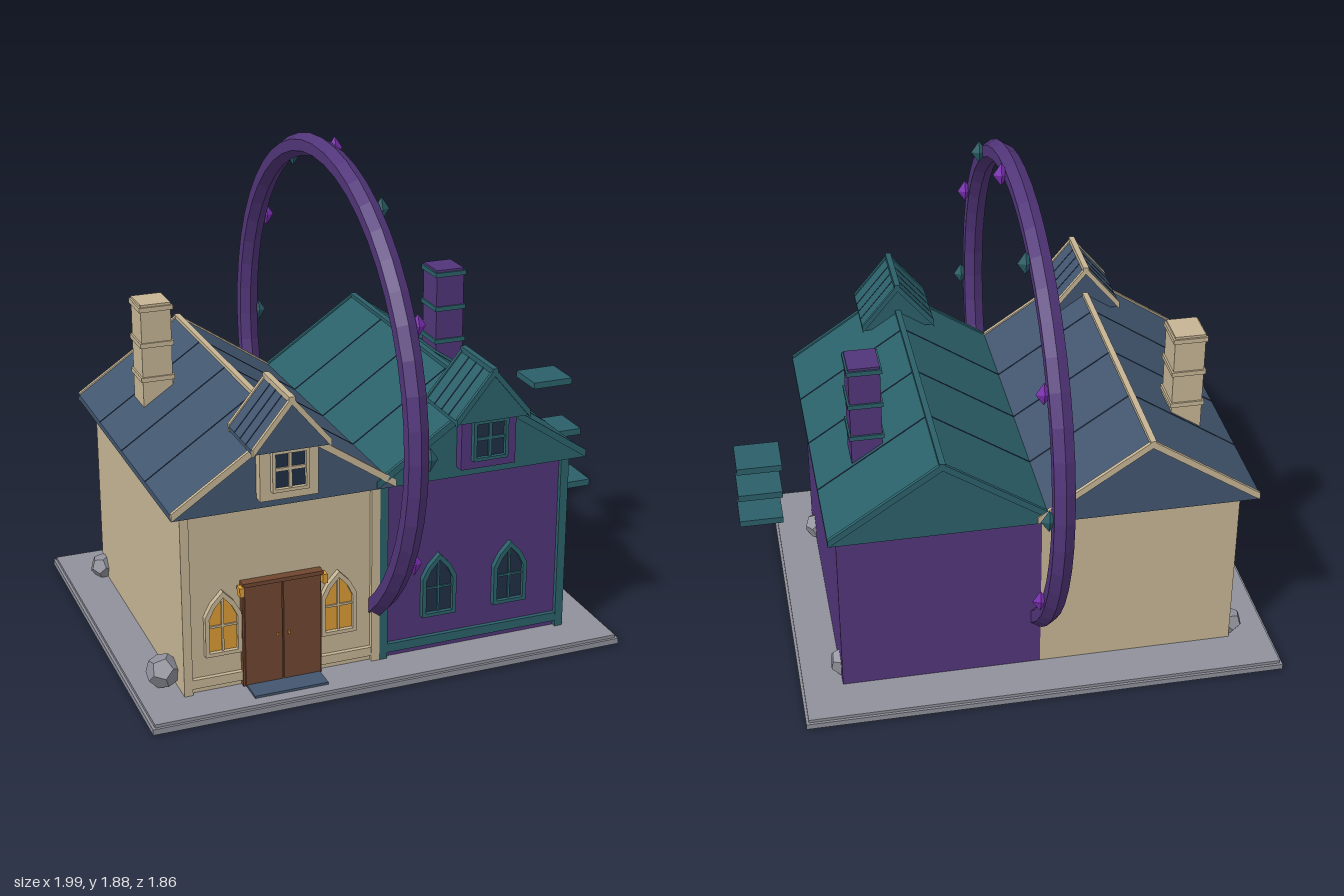
import * as THREE from 'three';

const mat = (name, color, extra = {}) => {
  const m = new THREE.MeshStandardMaterial({ color, ...extra });
  m.name = name;
  return m;
};

export function createModel() {
  const model = new THREE.Group();
  model.name = 'twinHouse';
  const tan = mat('tan', 0xc6b594), slate = mat('slateBlue', 0x42566f);
  const purple = mat('purple', 0x513579, { flatShading: true });
  const teal = mat('teal', 0x2b606a, { flatShading: true });
  const brown = mat('brown', 0x704630), navy = mat('navyGlass', 0x1f2e44);
  const amber = mat('amber', 0xda9a34);
  const grey = mat('stoneGrey', 0x90909b, { flatShading: true });
  const violet = mat('violetCrystal', 0x7d30b5, { flatShading: true });

  const add = (parent, name, geo, m) => {
    const mesh = new THREE.Mesh(geo, m);
    mesh.name = name;
    parent.add(mesh);
    return mesh;
  };
  // Box given by its bounds
  const box = (parent, name, m, x0, x1, y0, y1, z0, z1) => {
    const b = add(parent, name, new THREE.BoxGeometry(x1 - x0, y1 - y0, z1 - z0), m);
    b.position.set((x0 + x1) / 2, (y0 + y1) / 2, (z0 + z1) / 2);
    return b;
  };
  // Outline extruded from z0 to z1, optionally with a hole
  const slab = (parent, name, m, pts, z0, z1, hole) => {
    const v = (a) => a.map(([x, y]) => new THREE.Vector2(x, y));
    const s = new THREE.Shape(v(pts));
    if (hole) s.holes.push(new THREE.Path(v(hole)));
    const e = add(parent, name, new THREE.ExtrudeGeometry(s, { depth: z1 - z0, bevelEnabled: false }), m);
    e.position.z = z0;
    return e;
  };

  // Gabled roof with barge boards, ridge and seams
  const roof = (parent, name, m, trim, half, base, eave, apex, z0, z1, seams) => {
    slab(parent, name, m, [[-half, base], [half, base], [half, eave], [0, apex], [-half, eave]], z0, z1);
    const chevron = (part, mm, up, down, a, b) => slab(parent, part, mm, [
      [-half, eave - down], [0, apex - down], [half, eave - down],
      [half, eave + up], [0, apex + up], [-half, eave + up]], a, b);
    chevron(name + 'FrontBargeBoard', trim, 0.007, 0.022, z1 - 0.008, z1 + 0.006);
    chevron(name + 'BackBargeBoard', trim, 0.007, 0.022, z0 - 0.006, z0 + 0.008);
    seams.forEach((z) => chevron(name + 'Seam', navy, 0.002, 0.004, z - 0.003, z + 0.003));
    box(parent, name + 'Ridge', trim, -0.011, 0.011, apex - 0.015, apex + 0.007, z0 - 0.006, z1 + 0.006);
  };

  // Pointed-arch outline
  const lancet = (cx, w, y0, ySpring, yTop) => [
    [cx - w, y0], [cx + w, y0], [cx + w, ySpring], [cx + w * 0.62, ySpring + (yTop - ySpring) * 0.52],
    [cx, yTop], [cx - w * 0.62, ySpring + (yTop - ySpring) * 0.52], [cx - w, ySpring]];

  const archWindow = (parent, cx, frame, glass) => {
    const g = new THREE.Group();
    g.name = 'archWindow';
    parent.add(g);
    const inner = lancet(cx, 0.053, 0.192, 0.325, 0.405);
    slab(g, 'windowFrame', frame, lancet(cx, 0.068, 0.178, 0.335, 0.428), 0.545, 0.578, inner);
    slab(g, 'windowPane', glass, inner, 0.554, 0.562);
    box(g, 'windowMullion', frame, cx - 0.004, cx + 0.004, 0.19, 0.41, 0.556, 0.568);
    box(g, 'windowCrossbar', frame, cx - 0.055, cx + 0.055, 0.286, 0.294, 0.556, 0.568);
  };

  // Half of the house, centred on its own ridge
  const house = (name, cx, xl, xr, wall, cover, trim, glass, windows) => {
    const g = new THREE.Group();
    g.name = name;
    g.position.x = cx;
    model.add(g);
    box(g, 'walls', wall, xl, xr, 0.035, 0.755, -0.55, 0.555);
    for (const x of [xl, xr - 0.032]) box(g, 'cornerPost', trim, x, x + 0.032, 0.035, 0.755, 0.54, 0.573);
    box(g, 'plinthBand', trim, xl, xr, 0.06, 0.095, 0.54, 0.572);
    roof(g, 'mainRoof', cover, trim, 0.415, 0.75, 0.773, 1.052, -0.632, 0.628, [-0.31, 0, 0.31]);
    windows.forEach((x) => archWindow(g, x, trim, glass));

    // Dormer
    const d = new THREE.Group();
    d.name = 'dormer';
    g.add(d);
    box(d, 'dormerWalls', wall, -0.107, 0.107, 0.79, 1.0, 0.46, 0.668);
    roof(d, 'dormerRoof', cover, trim, 0.143, 0.98, 0.995, 1.168, 0.443, 0.7, [0.51, 0.57, 0.63]);
    const rect = (w, a, b) => [[-w, a], [w, a], [w, b], [-w, b]];
    slab(d, 'dormerWindowFrame', trim, rect(0.068, 0.825, 0.978), 0.66, 0.69, rect(0.056, 0.837, 0.966));
    box(d, 'dormerPane', navy, -0.057, 0.057, 0.836, 0.967, 0.667, 0.675);
    box(d, 'dormerMullion', trim, -0.006, 0.006, 0.836, 0.967, 0.67, 0.682);
    box(d, 'dormerCrossbar', trim, -0.057, 0.057, 0.9, 0.912, 0.67, 0.682);
    return g;
  };
  const left = house('tanHouse', -0.46, -0.37, 0.38, tan, slate, tan, amber, [-0.22, 0.22]);
  house('purpleHouse', 0.298, -0.378, 0.38, purple, teal, teal, navy, [-0.14, 0.15]);

  // Double door, lanterns and step
  box(left, 'doorFrame', brown, -0.15, 0.15, 0.035, 0.45, 0.54, 0.578);
  box(left, 'doorLintel', brown, -0.152, 0.152, 0.437, 0.452, 0.56, 0.596);
  for (const s of [-1, 1]) {
    const [a, b] = [s * 0.003, s * 0.143];
    box(left, 'doorLeaf', brown, Math.min(a, b), Math.max(a, b), 0.04, 0.437, 0.56, 0.588);
    box(left, 'doorKnob', amber, s * 0.022 - 0.004, s * 0.022 + 0.004, 0.225, 0.235, 0.586, 0.594);
    box(left, 'lantern', amber, s * 0.157 - 0.009, s * 0.157 + 0.009, 0.405, 0.44, 0.57, 0.603);
  }
  box(left, 'doorStep', slate, -0.14, 0.14, 0, 0.046, 0.57, 0.675);

  // Chimneys with three bands
  const chimney = (name, cx, body, band) => {
    const g = new THREE.Group();
    g.name = name;
    g.position.set(cx, 0, -0.23);
    model.add(g);
    box(g, 'chimneyStack', body, -0.058, 0.058, 0.8, 1.268, -0.065, 0.065);
    for (const y of [0.975, 1.11, 1.25])
      box(g, 'chimneyBand', band, -0.065, 0.065, y - 0.009, y + 0.009, -0.072, 0.072);
  };
  chimney('tanChimney', -0.68, tan, tan);
  chimney('purpleChimney', 0.522, purple, teal);

  // Great ring standing between the houses, with crystals on its side
  const cy = 0.95, R = 0.887;
  const ring = add(model, 'portalRing', new THREE.TorusGeometry(R, 0.043, 6, 48), purple);
  ring.rotation.y = Math.PI / 2;
  ring.position.set(-0.08, cy, 0);
  for (let i = 0; i < 12; i++) {
    const a = (i * Math.PI) / 6;
    const c = add(model, 'ringCrystal', new THREE.OctahedronGeometry(1), i % 2 ? teal : violet);
    c.scale.set(0.03, 0.045, 0.014);
    c.position.set(-0.03, cy + R * Math.cos(a), R * Math.sin(a));
  }

  // Floating steps
  for (let i = 0; i < 3; i++) {
    const y = 0.42 + i * 0.185, z = 0.09 - i * 0.09;
    box(model, 'floatingStep', teal, 0.828, 0.997, y - 0.013, y + 0.013, z - 0.08, z + 0.08);
  }

  // Ground slab
  box(model, 'groundSlab', grey, -0.993, 0.837, 0.003, 0.025, -0.735, 0.73);
  box(model, 'groundTop', grey, -0.983, 0.827, 0.02, 0.037, -0.725, 0.72);

  // Rocks
  [[-0.875, 0.46, 0.064, 0.095], [-0.845, -0.5, 0.05, 0.075], [0.665, 0.41, 0.055, 0.08], [0.665, -0.465, 0.055, 0.08]]
    .forEach(([x, z, r, y], i) => {
      const rock = add(model, 'rock', new THREE.DodecahedronGeometry(r), grey);
      rock.position.set(x, y, z);
      rock.rotation.set(0.4 + i, 0.7 * i, 0.3);
    });

  return model;
}
